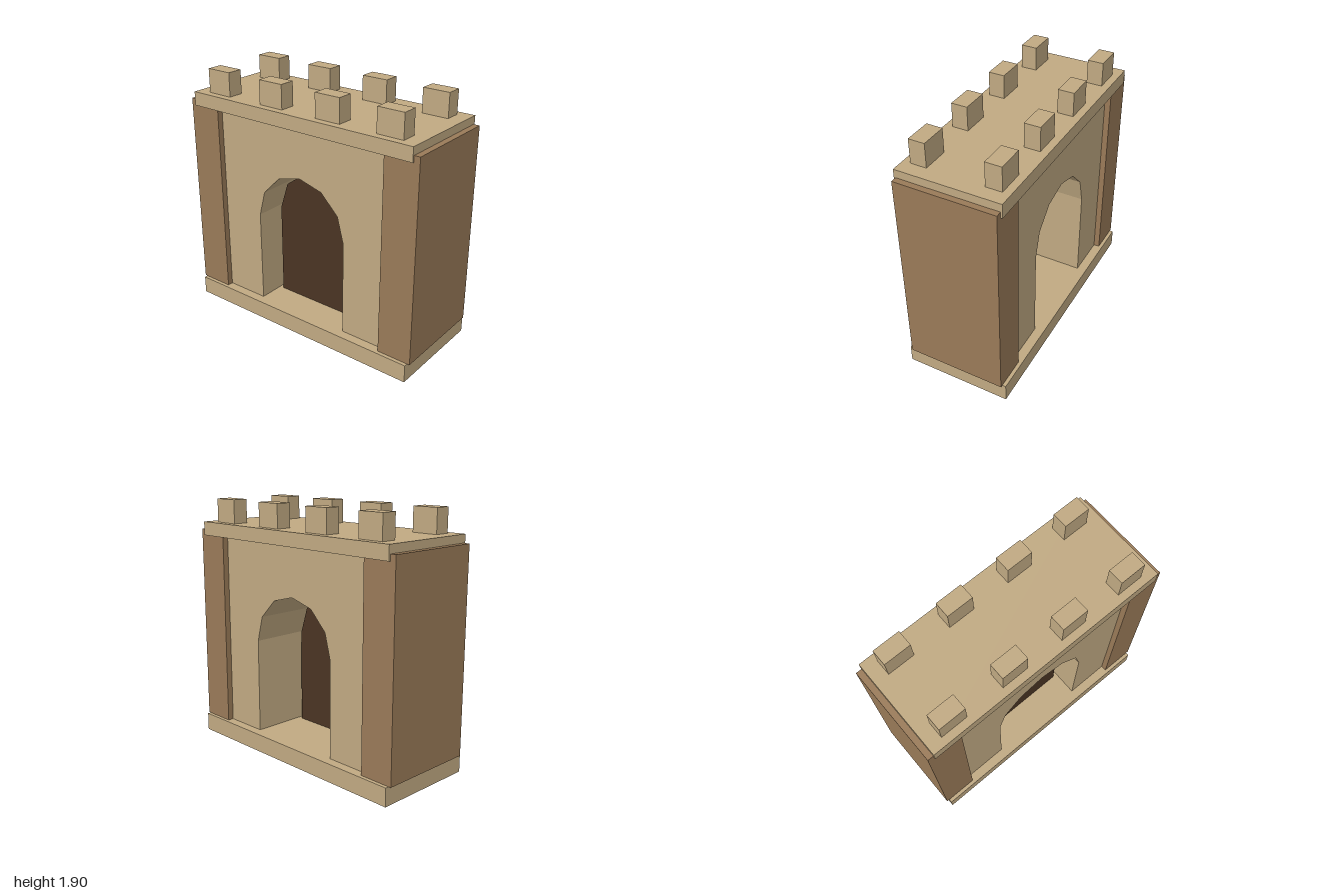
import * as THREE from 'three';

const material = (name, color) => {
  const m = new THREE.MeshStandardMaterial({ color });
  m.name = name;
  return m;
};

export function createModel() {
  const sand = material('sandstone', 0xc0a982);
  const brown = material('brownStone', 0x997a58);
  const dark = material('darkWood', 0x4a3423);
  const group = new THREE.Group();
  group.name = 'castleGate';

  const add = (name, geometry, mat) => {
    const mesh = new THREE.Mesh(geometry, mat);
    mesh.name = name;
    group.add(mesh);
    return mesh;
  };
  const box = (name, mat, w, d, y0, y1, x = 0, z = 0) =>
    add(name, new THREE.BoxGeometry(w, y1 - y0, d), mat).position.set(x, (y0 + y1) / 2, z);

  const floor = 0.137, spring = 0.855;

  // Faceted arch outline, running from the right foot over the top to the left foot
  const arch = (radius, segments) => {
    const points = [new THREE.Vector2(radius, floor)];
    for (let i = 0; i <= segments; i++) {
      const a = (i / segments) * Math.PI;
      points.push(new THREE.Vector2(radius * Math.cos(a), spring + radius * Math.sin(a)));
    }
    points.push(new THREE.Vector2(-radius, floor));
    return points;
  };
  const extrude = (points, depth, z) =>
    new THREE.ExtrudeGeometry(new THREE.Shape(points), { depth, bevelEnabled: false })
      .translate(0, 0, z - depth / 2);

  // Base, and roof slab
  box('base', sand, 1.96, 0.805, 0, floor);
  box('roofSlab', sand, 1.91, 0.775, 1.615, 1.72);

  // Gate wall with an arched passage open to the floor
  const wall = [
    new THREE.Vector2(-0.9, floor), ...arch(0.39, 6).reverse(),
    new THREE.Vector2(0.9, floor), new THREE.Vector2(0.9, 1.63), new THREE.Vector2(-0.9, 1.63),
  ];
  add('gateWall', extrude(wall, 0.66, 0), sand);

  // Door standing free inside the passage
  add('door', extrude(arch(0.355, 5), 0.05, 0.105), dark);

  // Side pillars
  for (const side of [-1, 1]) {
    box(side > 0 ? 'leftPillar' : 'rightPillar', brown, 0.265, 0.75, floor, 1.66, side * 0.8675);
  }

  // Battlements along the front and back edges
  for (const z of [-0.27, 0.27]) {
    for (let i = 0; i < 4; i++) {
      box('battlement', sand, 0.205, 0.12, 1.72, 1.9, (i - 1.5) * 0.4975, z);
    }
  }
  return group;
}
